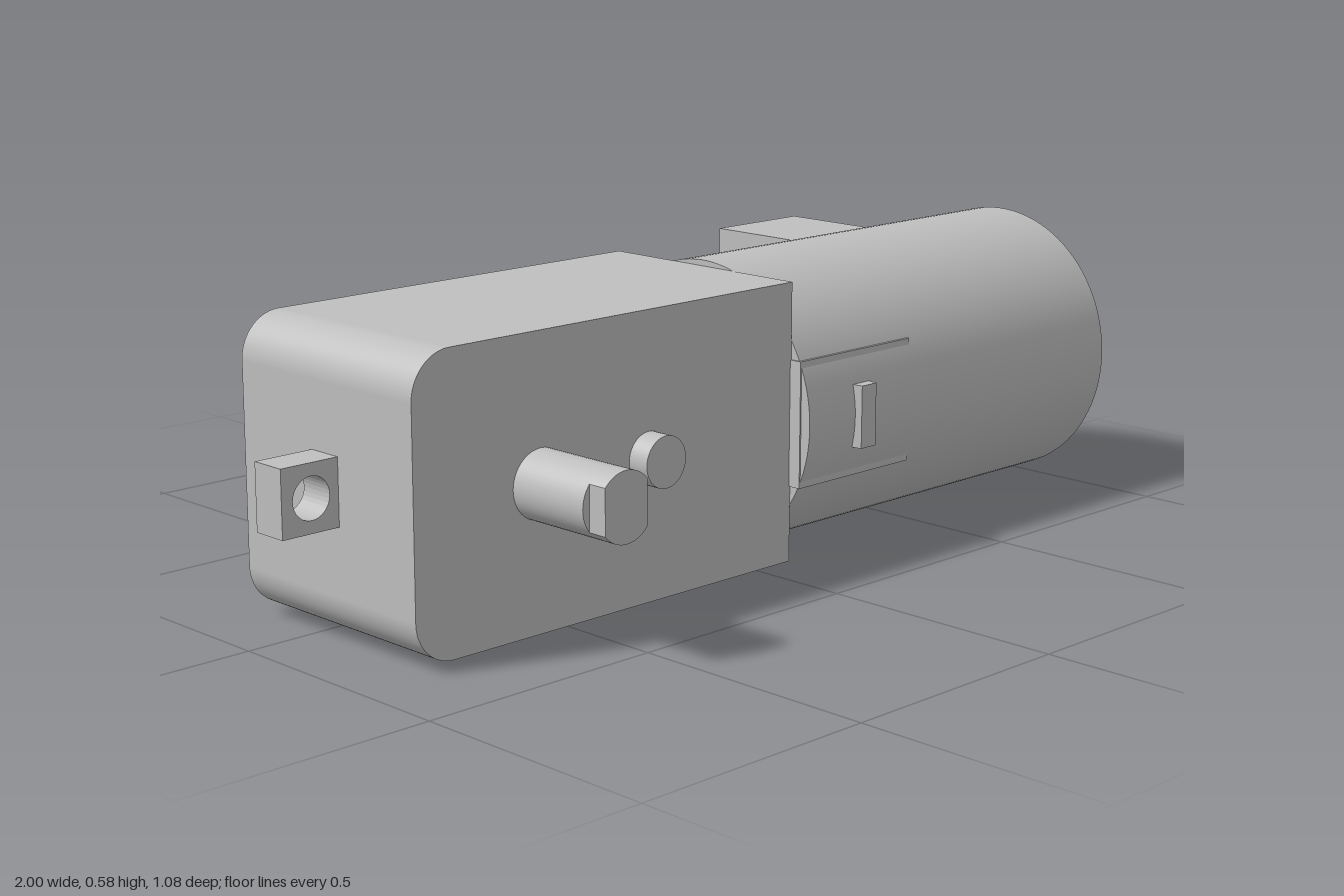
import * as THREE from 'three';

export function createModel() {
  const model = new THREE.Group();
  const grey = new THREE.MeshStandardMaterial({ color: 0xbfbfbf });
  grey.name = 'light grey';
  const Y = 0.294, Z = 0.078; // motor axis

  function add(name, geometry, x = 0, y = 0, z = 0) {
    const mesh = new THREE.Mesh(geometry, grey);
    mesh.name = name;
    mesh.position.set(x, y, z);
    model.add(mesh);
    return mesh;
  }
  // Box given by its limits on each axis
  function box(name, x0, x1, y0, y1, z0, z1) {
    return add(name, new THREE.BoxGeometry(x1 - x0, y1 - y0, z1 - z0),
      (x0 + x1) / 2, (y0 + y1) / 2, (z0 + z1) / 2);
  }
  // Round bar along z
  function bar(name, r, x, z0, z1) {
    return add(name, new THREE.CylinderGeometry(r, r, z1 - z0, 48).rotateX(Math.PI / 2), x, Y, (z0 + z1) / 2);
  }
  function extrude(shape, depth) {
    return new THREE.ExtrudeGeometry(shape, { depth, bevelEnabled: false, curveSegments: 16 });
  }

  // Gearbox with its two outer edges rounded
  const x0 = -0.877, x1 = 0.063, y0 = 0.016, y1 = 0.572, r = 0.085;
  const body = new THREE.Shape();
  body.moveTo(x1, y0);
  body.lineTo(x1, y1);
  body.lineTo(x0 + r, y1);
  body.absarc(x0 + r, y1 - r, r, Math.PI / 2, Math.PI, false);
  body.lineTo(x0, y0 + r);
  body.absarc(x0 + r, y0 + r, r, Math.PI, Math.PI * 1.5, false);
  body.closePath();
  add('gearbox', extrude(body, 0.48), 0, 0, -0.162);

  // Mounting tab with a through hole
  const tab = new THREE.Shape();
  tab.moveTo(-1, 0.23);
  tab.lineTo(-0.875, 0.23);
  tab.lineTo(-0.875, 0.358);
  tab.lineTo(-1, 0.358);
  tab.closePath();
  const hole = new THREE.Path();
  hole.absarc(-0.936, Y, 0.04, 0, Math.PI * 2, true);
  tab.holes.push(hole);
  add('mountingTab', extrude(tab, 0.074), 0, 0, 0.038);

  // Output shaft, ending in a tip with two flats
  bar('outputShaft', 0.066, -0.586, -0.417, 0.497);
  const a = Math.acos(0.05 / 0.066);
  const tip = new THREE.Shape();
  tip.absarc(0, 0, 0.066, a, Math.PI - a, false);
  tip.absarc(0, 0, 0.066, Math.PI + a, Math.PI * 2 - a, false);
  tip.closePath();
  add('shaftTip', extrude(tip, 0.041), -0.586, Y, 0.495);
  bar('locatingPeg', 0.05, -0.32, 0.3, 0.364);

  // Motor can and rear terminal housing
  add('motorCan', new THREE.CylinderGeometry(0.29, 0.29, 0.937, 96).rotateZ(Math.PI / 2), 0.5315, Y, Z);
  box('terminalHousing', 0.745, 1, 0.093, 0.494, -0.54, 0);

  // Strap arms and their tapered catches on both sides of the can
  for (const side of [1, -1]) {
    const name = side > 0 ? 'front' : 'back';
    const face = Z + side * 0.267;
    box(name + 'Strap', 0.06, 0.38, Y - 0.126, Y + 0.126, Math.min(face, face - side * 0.04), Math.max(face, face - side * 0.04));
    const catchGeo = new THREE.BoxGeometry(0.054, 0.126, 0.05);
    const p = catchGeo.attributes.position;
    for (let i = 0; i < p.count; i++) {
      if (p.getZ(i) * side > 0) p.setX(i, p.getX(i) * 0.78);
    }
    catchGeo.computeVertexNormals();
    add(name + 'Catch', catchGeo, 0.218, Y, Z + side * 0.28);
  }
  return model;
}
